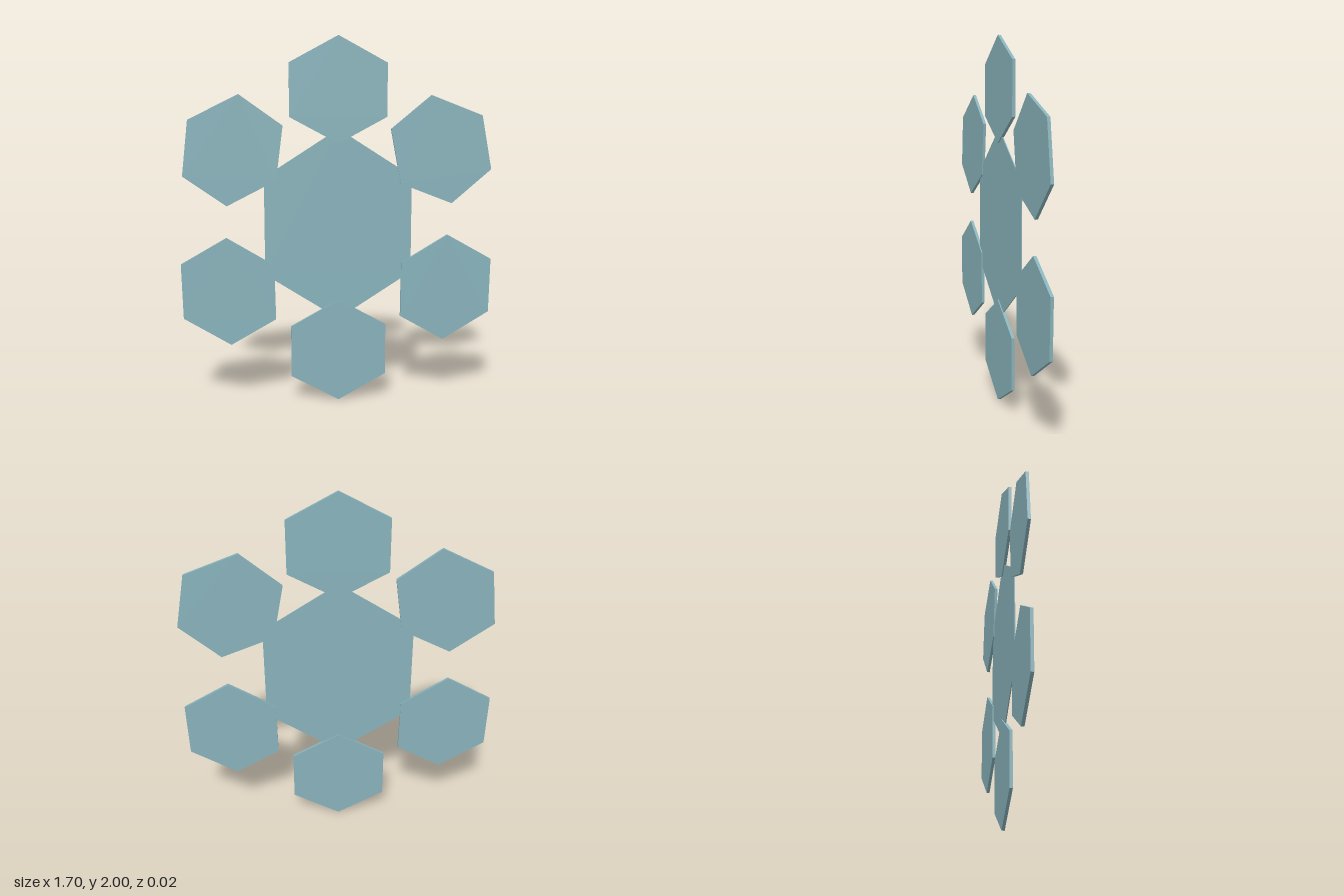
import * as THREE from 'three';

const PLATE_DEPTH = 0.016;
const BODY_DEPTH = 0.005;

// Flat polygon plate centred on z = 0
function plate(name, corners, depth, material) {
  const shape = new THREE.Shape(corners.map(([x, y]) => new THREE.Vector2(x, y)));
  const geometry = new THREE.ExtrudeGeometry(shape, { depth, bevelEnabled: false });
  geometry.translate(0, 0, -depth / 2);
  const mesh = new THREE.Mesh(geometry, material);
  mesh.name = name;
  return mesh;
}

// Upright hexagon from its centre, half width, half height and half side length
function hexagon(cy, w, h, s) {
  return [[0, cy + h], [-w, cy + s], [-w, cy - s], [0, cy - h], [w, cy - s], [w, cy + s]];
}

export function createModel() {
  const group = new THREE.Group();
  group.name = 'hexagonCluster';
  const teal = new THREE.MeshStandardMaterial({ color: 0x88b2bb });
  teal.name = 'paleTeal';

  // Thin central hexagon
  group.add(plate('centrePlate', hexagon(0.99, 0.4, 0.522, 0.266), BODY_DEPTH, teal));

  // Six thicker, slightly irregular hexagons around it
  const petals = {
    topPlate: hexagon(1.717, 0.262, 0.283, 0.142),
    bottomPlate: hexagon(0.287, 0.262, 0.287, 0.142),
    upperLeftPlate: [[0.502, 1.69], [0.284, 1.51], [0.34, 1.215], [0.622, 1.105], [0.838, 1.29], [0.782, 1.582]],
    upperRightPlate: [[-0.528, 1.695], [-0.795, 1.562], [-0.83, 1.265], [-0.6, 1.103], [-0.335, 1.238], [-0.297, 1.53]],
    lowerLeftPlate: [[0.603, 0.93], [0.348, 0.777], [0.345, 0.474], [0.587, 0.335], [0.844, 0.489], [0.85, 0.79]],
    lowerRightPlate: [[-0.606, 0.93], [-0.851, 0.79], [-0.844, 0.49], [-0.59, 0.335], [-0.344, 0.474], [-0.35, 0.775]],
  };
  for (const [name, corners] of Object.entries(petals)) {
    group.add(plate(name, corners, PLATE_DEPTH, teal));
  }
  return group;
}
